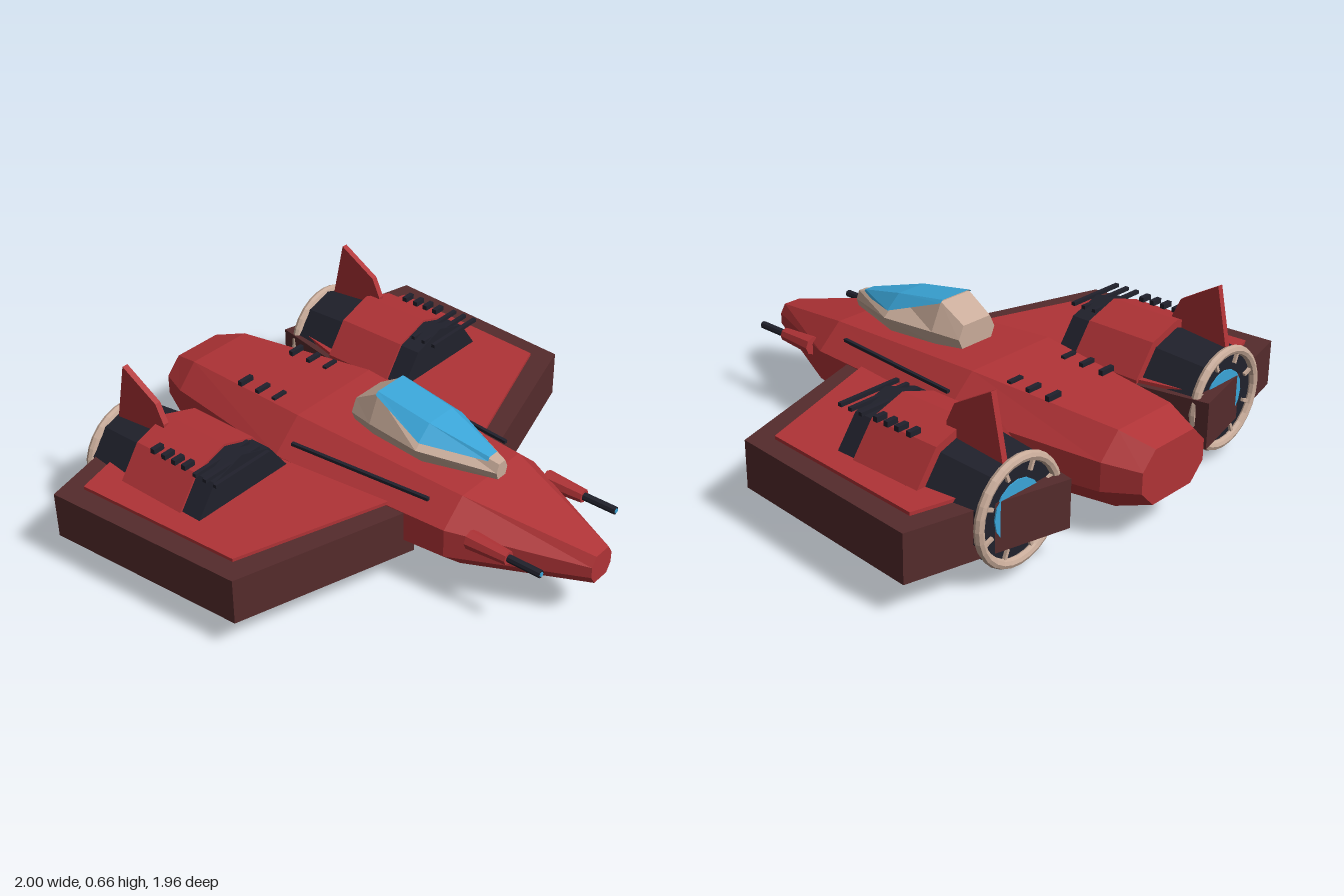
import * as THREE from 'three';

const mat = (name, color, extra = {}) => {
  const m = new THREE.MeshStandardMaterial({ color, flatShading: true, ...extra });
  m.name = name;
  return m;
};

// Skin rings of points, ordered counterclockwise seen from +z, front ring first
function loft(rings, closed = true) {
  const n = rings[0].length, pos = [], idx = [];
  rings.forEach(r => r.forEach(p => pos.push(...p)));
  for (let k = 0; k < rings.length - 1; k++) {
    for (let i = 0; i < (closed ? n : n - 1); i++) {
      const a = k * n + i, an = k * n + (i + 1) % n;
      idx.push(a, a + n, an, an, a + n, an + n);
    }
  }
  const last = (rings.length - 1) * n;
  for (let i = 1; closed && i < n - 1; i++) {
    idx.push(0, i, i + 1, last, last + i + 1, last + i);
  }
  const g = new THREE.BufferGeometry();
  g.setAttribute('position', new THREE.Float32BufferAttribute(pos, 3));
  g.setIndex(idx);
  const flat = g.toNonIndexed();
  flat.computeVertexNormals();
  return flat;
}

// Flat slab from an (x, z) outline between two heights
function slab(points, y0, y1) {
  const shape = new THREE.Shape(points.map(([x, z]) => new THREE.Vector2(x, -z)));
  const g = new THREE.ExtrudeGeometry(shape, { depth: y1 - y0, bevelEnabled: false });
  return g.rotateX(-Math.PI / 2).translate(0, y0, 0);
}

// Cylinder along z, from zFront to zBack
function tubeZ(rFront, rBack, zFront, zBack, sides) {
  return new THREE.CylinderGeometry(rFront, rBack, zFront - zBack, sides)
    .rotateX(Math.PI / 2).translate(0, 0, (zFront + zBack) / 2);
}

export function createModel() {
  const red = mat('red paint', 0xb03336);
  const maroon = mat('maroon trim', 0x552b2c);
  const dark = mat('dark metal', 0x20212c);
  const cream = mat('cream metal', 0xc8ab99);
  const blue = mat('blue glass', 0x3aa5d8, { side: THREE.DoubleSide });

  const model = new THREE.Group();
  const add = (name, geo, material, x = 0, y = 0, z = 0, parent = model) => {
    const m = new THREE.Mesh(geo, material);
    m.name = name;
    m.position.set(x, y, z);
    parent.add(m);
    return m;
  };
  const box = (w, h, d) => new THREE.BoxGeometry(w, h, d);

  // Fuselage: chamfered sections [z, half width, bottom, top]
  const hull = [
    [0.98, 0.06, 0.18, 0.295], [0.5, 0.27, 0.10, 0.40], [-0.24, 0.33, 0.07, 0.44],
    [-0.85, 0.23, 0.11, 0.40], [-0.98, 0.17, 0.15, 0.36],
  ].map(([z, w, b, t]) => {
    const c = (b + t) / 2, h = (t - b) / 2, f = w * 0.62, v = h * 0.38;
    return [[w, c - v, z], [w, c + v, z], [f, t, z], [-f, t, z],
      [-w, c + v, z], [-w, c - v, z], [-f, b, z], [f, b, z]];
  });
  add('fuselage', loft(hull), red);

  // Cockpit frame: [z, bottom half, bottom y, waist half, waist y, top half, top y]
  const frame = [
    [0.545, 0.022, 0.41, 0.032, 0.44, 0.018, 0.472],
    [0.27, 0.11, 0.412, 0.145, 0.475, 0.065, 0.545],
    [0.04, 0.10, 0.42, 0.125, 0.48, 0.075, 0.585],
    [-0.07, 0.075, 0.425, 0.095, 0.47, 0.07, 0.52],
  ].map(([z, bw, by, ww, wy, tw, ty]) => [[bw, by, z], [ww, wy, z], [tw, ty, z],
    [-tw, ty, z], [-ww, wy, z], [-bw, by, z]]);
  add('cockpitFrame', loft(frame), cream);

  // Canopy glass laid over the frame
  const glass = [
    [0.505, 0.03, 0.474, 0.022, 0.488],
    [0.27, 0.128, 0.499, 0.066, 0.552],
    [0.035, 0.083, 0.582, 0.07, 0.592],
  ].map(([z, ew, ey, tw, ty]) => [[ew, ey, z], [tw, ty, z], [-tw, ty, z], [-ew, ey, z]]);
  add('canopyGlass', loft(glass, false), blue);

  for (const s of [1, -1]) {
    const side = new THREE.Group();
    side.name = s > 0 ? 'leftSide' : 'rightSide';
    model.add(side);
    const put = (name, geo, m, x, y, z, parent = side) => add(name, geo, m, x * s, y, z, parent);
    const mirror = pts => pts.map(([x, z]) => [x * s, z]);

    // Wing block and raised top panel
    put('wing', slab(mirror([[0.24, 0.345], [0.94, 0.13], [1, -0.70], [0.38, -0.85], [0.32, -0.55]]),
      0.125, 0.31), maroon, 0, 0, 0);
    put('wingPanel', slab(mirror([[0.27, 0.26], [0.865, 0.06], [0.91, -0.64], [0.40, -0.77], [0.34, -0.55]]),
      0.305, 0.323), red, 0, 0, 0);

    // Engine nacelle
    const engine = new THREE.Group();
    engine.name = 'engine';
    engine.position.set(0.565 * s, 0.247, 0);
    side.add(engine);
    put('intake', tubeZ(0.237, 0.237, -0.175, -0.27, 10), dark, 0, 0, 0, engine);
    put('cowl', tubeZ(0.246, 0.246, -0.26, -0.56, 10), red, 0, 0, 0, engine);
    put('nozzle', tubeZ(0.215, 0.192, -0.55, -0.78, 10), dark, 0, 0, 0, engine);
    put('nozzleRing', new THREE.TorusGeometry(0.187, 0.018, 8, 28), cream, 0, 0, -0.787, engine);
    put('engineGlow', tubeZ(0.11, 0.11, -0.778, -0.785, 16), blue, 0, 0, 0, engine);
    for (let i = 0; i < 8; i++) {
      const spoke = box(0.05, 0.012, 0.012).translate(0.16, 0, 0).rotateZ((i + 0.5) * Math.PI / 4);
      put('nozzleSpoke', spoke, cream, 0, 0, -0.787, engine);
    }

    // Vents on and ahead of the cowl
    for (const z of [-0.30, -0.35, -0.40, -0.455]) put('cowlVent', box(0.048, 0.02, 0.02), dark, 0.708, 0.463, z);
    for (const z of [-0.137, -0.187, -0.237]) put('intakeBar', box(0.27, 0.014, 0.016), dark, 0.605, 0.463, z);

    // Tail fin
    const profile = [[-0.515, 0.44], [-0.515, 0.49], [-0.55, 0.565], [-0.71, 0.66], [-0.765, 0.41]];
    const fin = new THREE.ExtrudeGeometry(
      new THREE.Shape(profile.map(p => new THREE.Vector2(...p))), { depth: 0.024, bevelEnabled: false });
    put('tailFin', fin.rotateY(-Math.PI / 2).translate(0.012, 0, 0), red, 0.605, 0, 0);

    // Nose gun
    put('gunBody', tubeZ(0.026, 0.037, 0.75, 0.585, 8), red, 0.23, 0.29, 0);
    put('gunBarrel', tubeZ(0.015, 0.015, 0.885, 0.74, 8), dark, 0.23, 0.29, 0);
    put('gunMuzzle', tubeZ(0.009, 0.009, 0.888, 0.882, 8), blue, 0.23, 0.29, 0);

    // Hull slots and long side groove
    for (const z of [-0.565, -0.475, -0.39]) put('hullSlot', box(0.065, 0.02, 0.018), dark, 0.144, 0.43, z);
    const groove = put('sideGroove', box(0.014, 0.012, 0.6), dark, 0.256, 0.372, 0.1);
    groove.rotation.y = -s * 0.09;
  }
  return model;
}
